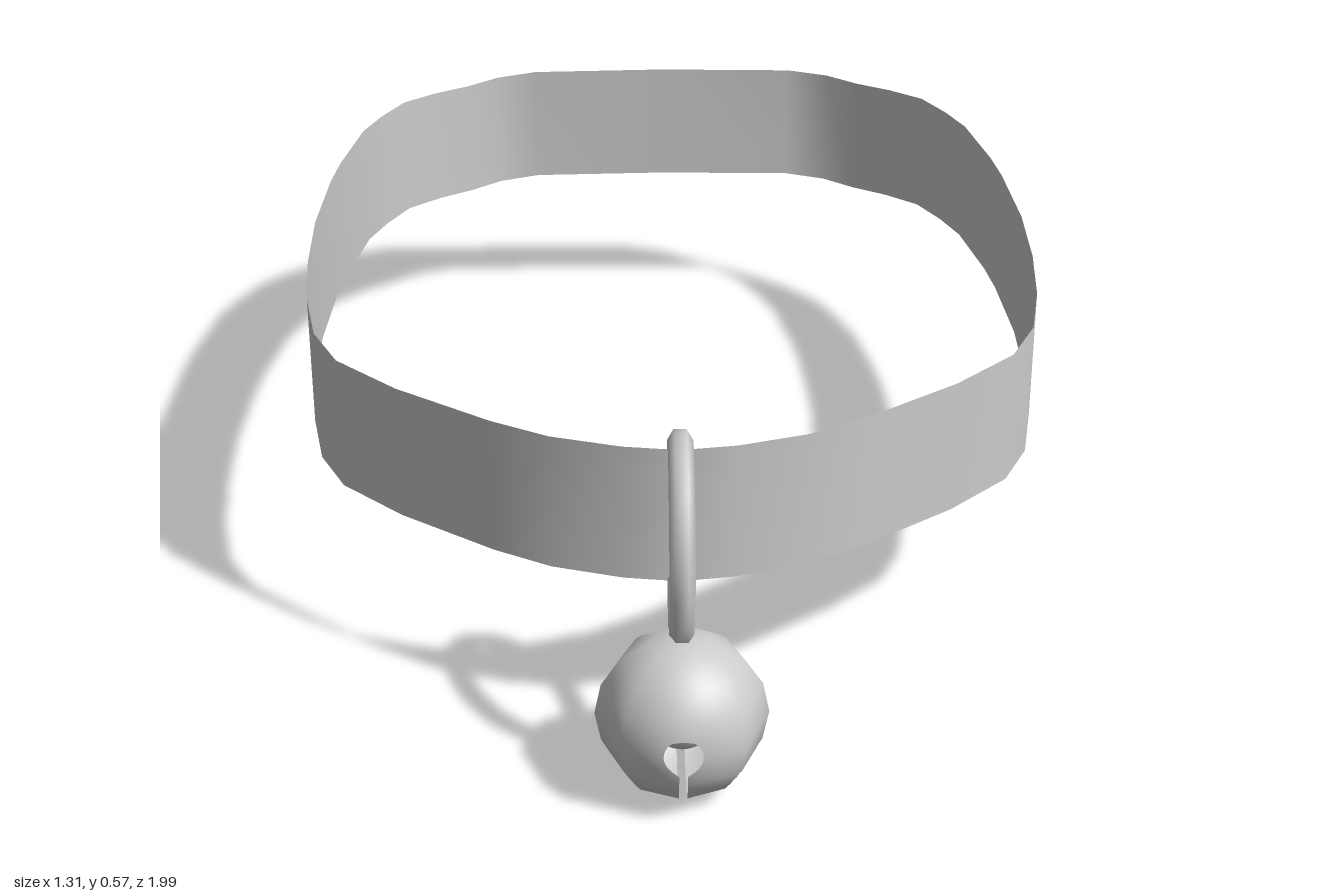
import * as THREE from 'three';

const material = new THREE.MeshStandardMaterial({ color: 0xcccccc, side: THREE.DoubleSide });

// Grid of points(i, j) joined into quads, wrapping around in i
function gridGeometry(rows, cols, point) {
  const positions = [], index = [];
  for (let i = 0; i < rows; i++)
    for (let j = 0; j <= cols; j++) positions.push(...point(i, j));
  for (let i = 0; i < rows; i++)
    for (let j = 0; j < cols; j++) {
      const a = i * (cols + 1) + j, b = ((i + 1) % rows) * (cols + 1) + j;
      index.push(a, a + 1, b, b, a + 1, b + 1);
    }
  const geometry = new THREE.BufferGeometry();
  geometry.setAttribute('position', new THREE.Float32BufferAttribute(positions, 3));
  geometry.setIndex(index);
  return geometry;
}

function addMesh(parent, name, geometry) {
  const mesh = new THREE.Mesh(geometry, material);
  mesh.name = name;
  parent.add(mesh);
  return mesh;
}

// Thin collar strap: [x, z, bottom y] for the +x side, front to back
function bandGeometry() {
  const side = [
    [0.09, 0.70, 0.288], [0.205, 0.66, 0.286], [0.30, 0.60, 0.283], [0.46, 0.47, 0.276],
    [0.565, 0.375, 0.281], [0.61, 0.29, 0.29], [0.635, 0.16, 0.293], [0.65, 0, 0.293],
    [0.655, -0.18, 0.293], [0.645, -0.38, 0.293], [0.635, -0.47, 0.293], [0.605, -0.64, 0.293],
    [0.575, -0.72, 0.293], [0.535, -0.805, 0.291], [0.475, -0.875, 0.284], [0.41, -0.93, 0.279],
    [0.35, -0.975, 0.281], [0.27, -1, 0.284],
  ];
  const mirrored = side.map(([x, z, y]) => [-x, z, y]).reverse();
  const loop = [[0, 0.715, 0.289], ...side, [0, -1, 0.288], ...mirrored];
  const geometry = gridGeometry(loop.length, 1, (i, j) => {
    const [x, z, y] = loop[i];
    return [x, y + (1 - j) * 0.237, z];
  });
  geometry.computeVertexNormals();
  return geometry;
}

// Pulls a rounded outline in to a regular polygon
const facet = (angle, step) => {
  const rest = ((angle % step) + step) % step;
  return Math.cos(step / 2) / Math.cos(rest - step / 2);
};

// Half of the bell, with half of a keyhole at front and back joined by a slit below
function halfBellGeometry(radius) {
  const rows = 128, cols = 20, hole = 0.033, slit = 0.007;
  const normals = [];
  const geometry = gridGeometry(rows, cols, (i, j) => {
    const phi = (i / rows) * Math.PI * 2;
    const arc = Math.asin(Math.abs(Math.sin(phi))) * radius;
    let gap = arc < hole ? Math.sqrt(hole * hole - arc * arc) : 0;
    if (Math.sin(phi) < 0) gap = Math.max(gap, slit);
    const start = Math.asin(gap / radius);
    const a = start + (Math.PI / 2 - start) * (j / cols);
    const n = [Math.sin(a), Math.cos(a) * Math.sin(phi), Math.cos(a) * Math.cos(phi)];
    normals.push(...n);
    const r = radius * facet(Math.acos(n[1]), Math.PI / 8);
    const flat = r * facet(Math.atan2(n[2], n[0]), Math.PI / 4);
    return [n[0] * flat, n[1] * r, n[2] * flat];
  });
  geometry.setAttribute('normal', new THREE.Float32BufferAttribute(normals, 3));
  return geometry;
}

export function createModel() {
  const model = new THREE.Group();
  model.name = 'collarWithBell';

  addMesh(model, 'collarBand', bandGeometry());

  // Oval ring through the band, leaning back at the top
  const points = [];
  for (let i = 0; i < 24; i++) {
    const t = (i / 24) * Math.PI * 2;
    points.push(new THREE.Vector3(0, 0.153 * Math.cos(t), 0.114 * Math.sin(t)));
  }
  const oval = new THREE.CatmullRomCurve3(points, true);
  const ring = addMesh(model, 'hangingRing', new THREE.TubeGeometry(oval, 32, 0.02, 6, true));
  ring.position.set(0, 0.403, 0.772);
  ring.rotation.x = -0.32;

  // Round bell from two matching halves, with a loose ball inside
  const bell = new THREE.Group();
  bell.name = 'bell';
  bell.position.set(0, 0.14, 0.863);
  const half = halfBellGeometry(0.137);
  addMesh(bell, 'bellLeftHalf', half);
  addMesh(bell, 'bellRightHalf', half).rotation.y = Math.PI;
  addMesh(bell, 'bellClapper', new THREE.SphereGeometry(0.058, 16, 12));
  model.add(bell);

  return model;
}
